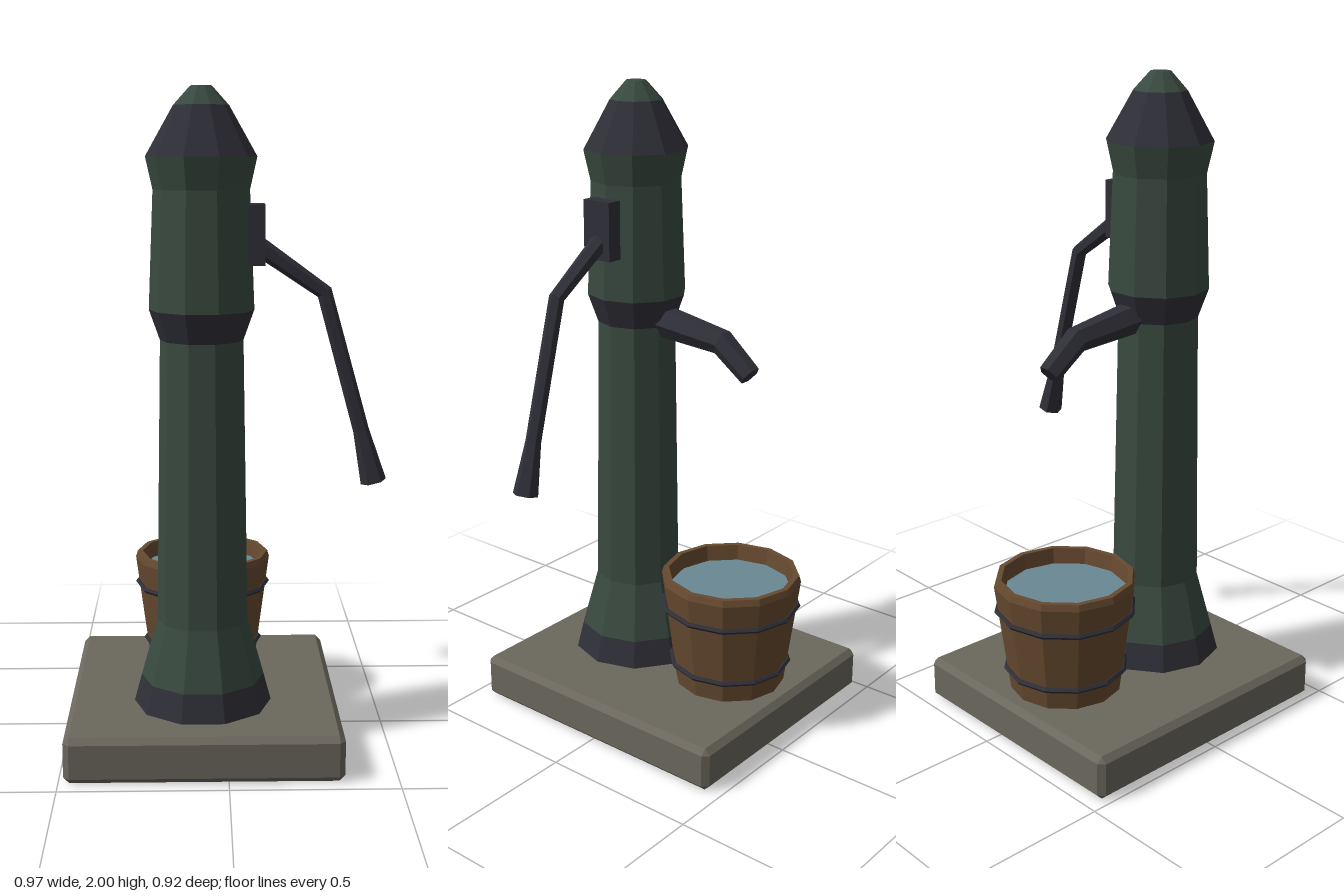
import * as THREE from 'three';
import { ConvexGeometry } from 'three/addons/geometries/ConvexGeometry.js';

const V = (x, y, z) => new THREE.Vector3(x, y, z);

function makeMaterial(name, color) {
  const m = new THREE.MeshStandardMaterial({ color, flatShading: true });
  m.name = name;
  return m;
}

// Box with chamfered edges
function chamferBox(w, h, d, b) {
  const pts = [];
  for (const sx of [-1, 1]) for (const sy of [-1, 1]) for (const sz of [-1, 1]) {
    const [x, y, z] = [sx * w / 2, sy * h / 2, sz * d / 2];
    pts.push(V(x, y - sy * b, z - sz * b), V(x - sx * b, y, z - sz * b), V(x - sx * b, y - sy * b, z));
  }
  return new ConvexGeometry(pts);
}

// Faceted surface of revolution from [radius, y] pairs, listed outside upwards
function lathe(profile, sides) {
  return new THREE.LatheGeometry(profile.map(([r, y]) => new THREE.Vector2(r, y)), sides, Math.PI / 2);
}

// Six-sided rod through points of varying radius; "side" is normal to the bend plane
function rod(path, radii, side, phase) {
  const n = 6, pos = [], index = [];
  path.forEach((p, i) => {
    const t = V(0, 0, 0);
    if (i > 0) t.add(p.clone().sub(path[i - 1]).normalize());
    if (i < path.length - 1) t.add(path[i + 1].clone().sub(p).normalize());
    const up = side.clone().cross(t.normalize());
    for (let j = 0; j < n; j++) {
      const a = phase + j * Math.PI * 2 / n;
      const v = p.clone().addScaledVector(up, radii[i] * Math.cos(a)).addScaledVector(side, radii[i] * Math.sin(a));
      pos.push(v.x, v.y, v.z);
    }
  });
  const last = (path.length - 1) * n;
  for (let i = 0; i < last; i += n) for (let j = 0; j < n; j++) {
    const k = (j + 1) % n;
    index.push(i + j, i + k, i + n + k, i + j, i + n + k, i + n + j);
  }
  for (let j = 1; j < n - 1; j++) index.push(0, j + 1, j, last, last + j, last + j + 1);
  const g = new THREE.BufferGeometry();
  g.setAttribute('position', new THREE.Float32BufferAttribute(pos, 3));
  g.setIndex(index);
  g.computeVertexNormals();
  return g;
}

export function createModel() {
  const stone = makeMaterial('stone', 0x6b675d);
  const green = makeMaterial('green paint', 0x394a40);
  const iron = makeMaterial('dark iron', 0x2f2f38);
  const wood = makeMaterial('wood', 0x674a30);
  const water = makeMaterial('water', 0x6a8994);

  const model = new THREE.Group();
  model.name = 'waterPump';
  const add = (parent, name, geometry, material, x = 0, y = 0, z = 0) => {
    const mesh = new THREE.Mesh(geometry, material);
    mesh.name = name;
    mesh.position.set(x, y, z);
    parent.add(mesh);
    return mesh;
  };

  add(model, 'stoneBase', chamferBox(0.826, 0.14, 0.92, 0.018), stone, -0.072, 0.07, 0);

  // Pump body, stacked in colour bands
  const pump = new THREE.Group();
  pump.name = 'pump';
  pump.position.set(-0.075, 0, 0.15);
  model.add(pump);
  const bands = [
    ['footRing', iron, [[0.212, 0.135], [0.188, 0.225]]],
    ['column', green, [[0.188, 0.225], [0.138, 0.405], [0.124, 1.265]]],
    ['collar', iron, [[0.124, 1.265], [0.156, 1.355]]],
    ['head', green, [[0.156, 1.355], [0.142, 1.705], [0.163, 1.8]]],
    ['cap', iron, [[0.163, 1.8], [0.081, 1.945]]],
    ['capTip', green, [[0.081, 1.945], [0.031, 2], [0, 2]]],
  ];
  for (const [name, mat, profile] of bands) add(pump, name, lathe(profile, 10), mat);

  // Handle with bracket, and spout
  add(model, 'handleBracket', new THREE.BoxGeometry(0.05, 0.178, 0.1), iron, 0.085, 1.575, 0.15);
  add(model, 'handle', rod(
    [V(0.08, 1.55, 0.15), V(0.288, 1.405, 0.15), V(0.403, 0.99, 0.15), V(0.443, 0.832, 0.15)],
    [0.029, 0.024, 0.024, 0.039], V(0, 0, 1), 0), iron);
  add(model, 'spout', rod(
    [V(-0.075, 1.28, 0.07), V(-0.075, 1.25, -0.185), V(-0.075, 1.165, -0.291)],
    [0.052, 0.04, 0.034], V(1, 0, 0), Math.PI / 6), iron);

  // Bucket
  const bucket = new THREE.Group();
  bucket.name = 'bucket';
  bucket.position.set(-0.073, 0, -0.235);
  model.add(bucket);
  add(bucket, 'bucketStaves', lathe([[0, 0.141], [0.175, 0.141], [0.221, 0.49], [0.215, 0.51],
    [0.198, 0.51], [0.188, 0.44]], 12), wood);
  const surface = add(bucket, 'waterSurface', new THREE.CircleGeometry(0.193, 12), water, 0, 0.46, 0);
  surface.rotation.x = -Math.PI / 2;
  for (const [y, r] of [[0.21, 0.187], [0.405, 0.213]]) {
    const hoop = add(bucket, 'hoop', new THREE.TorusGeometry(r, 0.009, 5, 12), iron, 0, y, 0);
    hoop.rotation.x = -Math.PI / 2;
  }
  return model;
}
